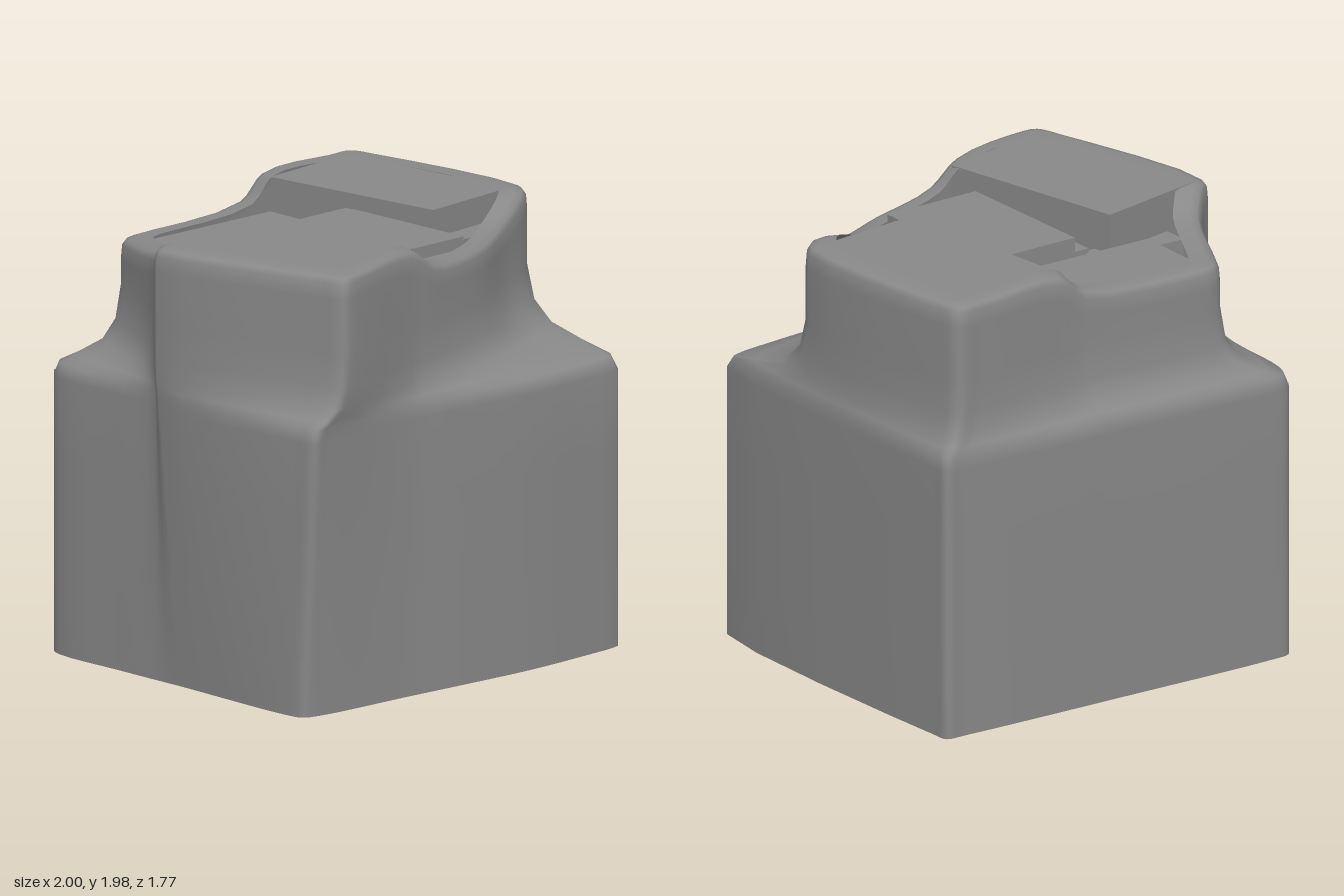
import * as THREE from 'three';

const boxMaterial = new THREE.MeshStandardMaterial({ color: 0x898989 });
const filmMaterial = new THREE.MeshStandardMaterial({ color: 0x898989, side: THREE.DoubleSide });
const mix = THREE.MathUtils.lerp;

// Matching outline points, left > front > right > back:
// [base x, z,  upper x, z,  rim height]
const stations = [
  [-0.925, 0.0, -0.995, -0.07, 1.96],
  [-0.92, 0.7, -0.79, 0.74, 1.965],
  [-0.9, 0.775, -0.74, 0.865, 1.965],
  [-0.82, 0.8, -0.66, 0.865, 1.97],
  [-0.3, 0.805, -0.22, 0.74, 1.97],
  [0.0, 0.81, -0.05, 0.7, 1.88],
  [0.4, 0.81, 0.33, 0.57, 1.86],
  [0.75, 0.78, 0.62, 0.4, 1.885],
  [0.94, 0.755, 0.88, 0.25, 1.965],
  [0.985, 0.73, 0.955, 0.14, 1.97],
  [0.935, -0.8, 0.86, -0.7, 1.97],
  [0.92, -0.885, 0.82, -0.83, 1.97],
  [0.83, -0.89, 0.7, -0.83, 1.97],
  [0.25, -0.885, 0.25, -0.78, 1.97],
  [0.0, -0.88, 0.1, -0.765, 1.87],
  [-0.8, -0.862, -0.55, -0.74, 1.835],
  [-0.9, -0.845, -0.63, -0.71, 1.835],
  [-0.94, -0.76, -0.69, -0.6, 1.84],
  [-0.935, -0.4, -0.83, -0.28, 1.88],
  [-0.93, -0.15, -0.93, -0.15, 1.95],
];

// Film rings below the rim: [height, blend from base to upper outline]
const sideRings = [[0, 0], [0.45, 0], [0.9, 0], [1.24, 0], [1.3, 0.08], [1.33, 0.36], [1.38, 0.72], [1.47, 0.92], [1.62, 1]];
// Film rings folding over the rim: [drop below the rim, scale of the upper outline]
const rimRings = [[0.1, 1], [0.035, 0.994], [0.01, 0.975], [0, 0.935], [0, 0.85]];

// Where the top layer overhangs the base, the film slants straight out to it
function stretch(base, upper, y, blend) {
  const overhangs = Math.abs(upper) > Math.abs(base);
  return mix(base, upper, overhangs ? Math.min(1, y / 1.4) : blend);
}

function sidePoint([bx, bz, ux, uz], y, blend) {
  return new THREE.Vector3(stretch(bx, ux, y, blend), y, stretch(bz, uz, y, blend));
}

function rimPoint([, , ux, uz, top], drop, scale) {
  return new THREE.Vector3(ux * scale, top - drop, uz * scale);
}

// Stretch film lofted through the rings
function createFilm() {
  const rings = [
    ...sideRings.map(([y, blend]) => stations.map((s) => sidePoint(s, y, blend))),
    ...rimRings.map(([drop, scale]) => stations.map((s) => rimPoint(s, drop, scale))),
  ];
  const count = stations.length * 4;
  const positions = [];
  const indices = [];
  rings.forEach((points, j) => {
    const curve = new THREE.CatmullRomCurve3(points, true, 'centripetal');
    for (let i = 0; i < count; i++) {
      positions.push(...curve.getPoint(i / count).toArray());
      if (j === rings.length - 1) continue;
      const a = j * count + i;
      const b = j * count + ((i + 1) % count);
      indices.push(a, b, a + count, b, b + count, a + count);
    }
  });
  const geometry = new THREE.BufferGeometry();
  geometry.setAttribute('position', new THREE.Float32BufferAttribute(positions, 3));
  geometry.setIndex(indices);
  geometry.computeVertexNormals();
  const mesh = new THREE.Mesh(geometry, filmMaterial);
  mesh.name = 'stretchFilm';
  return mesh;
}

function addBox(parent, name, x, z, w, d, y0, y1, turn = 0) {
  const mesh = new THREE.Mesh(new THREE.BoxGeometry(w, y1 - y0, d), boxMaterial);
  mesh.position.set(x, (y0 + y1) / 2, z);
  mesh.rotation.y = turn;
  mesh.name = name;
  parent.add(mesh);
}

export function createModel() {
  const model = new THREE.Group();
  model.name = 'wrappedBoxStack';
  model.add(createFilm());

  // Lower boxes: three across the back, two across the front
  const lower = new THREE.Group();
  lower.name = 'lowerBoxes';
  for (let i = 0; i < 3; i++) addBox(lower, 'backLowerBox', (i - 1) * 0.608, -0.4, 0.595, 0.88, 0.002, 1.26);
  addBox(lower, 'leftFrontLowerBox', -0.435, 0.42, 0.91, 0.72, 0.002, 1.26);
  addBox(lower, 'rightFrontLowerBox', 0.5, 0.41, 0.91, 0.68, 0.002, 1.26, 0.04);
  model.add(lower);

  // Sheet between the layers
  addBox(model, 'layerSheet', 0, -0.02, 1.66, 1.4, 1.26, 1.28);

  // Loosely turned boxes of the top layer
  const upper = new THREE.Group();
  upper.name = 'upperBoxes';
  addBox(upper, 'leftUpperBox', -0.538, 0.287, 0.56, 0.92, 1.28, 1.96, 0.25);
  addBox(upper, 'rightUpperBox', 0.54, -0.26, 0.52, 0.92, 1.28, 1.965, 0.147);
  addBox(upper, 'backUpperBox', -0.18, -0.455, 0.8, 0.42, 1.28, 1.81, 0.03);
  addBox(upper, 'middleUpperBox', 0.065, 0.115, 0.48, 0.72, 1.28, 1.895, 0.05);
  // Lower boxes seen in the gaps
  addBox(upper, 'middleGapBox', -0.23, 0.17, 0.12, 0.68, 1.28, 1.8, 0.06);
  addBox(upper, 'middleFrontGapBox', 0.08, 0.5, 0.4, 0.1, 1.28, 1.84, 0.25);
  addBox(upper, 'frontGapBox', 0.5, 0.26, 0.36, 0.14, 1.28, 1.84, 0.15);
  addBox(upper, 'leftGapBox', -0.52, -0.2, 0.45, 0.12, 1.28, 1.78);
  model.add(upper);
  return model;
}
